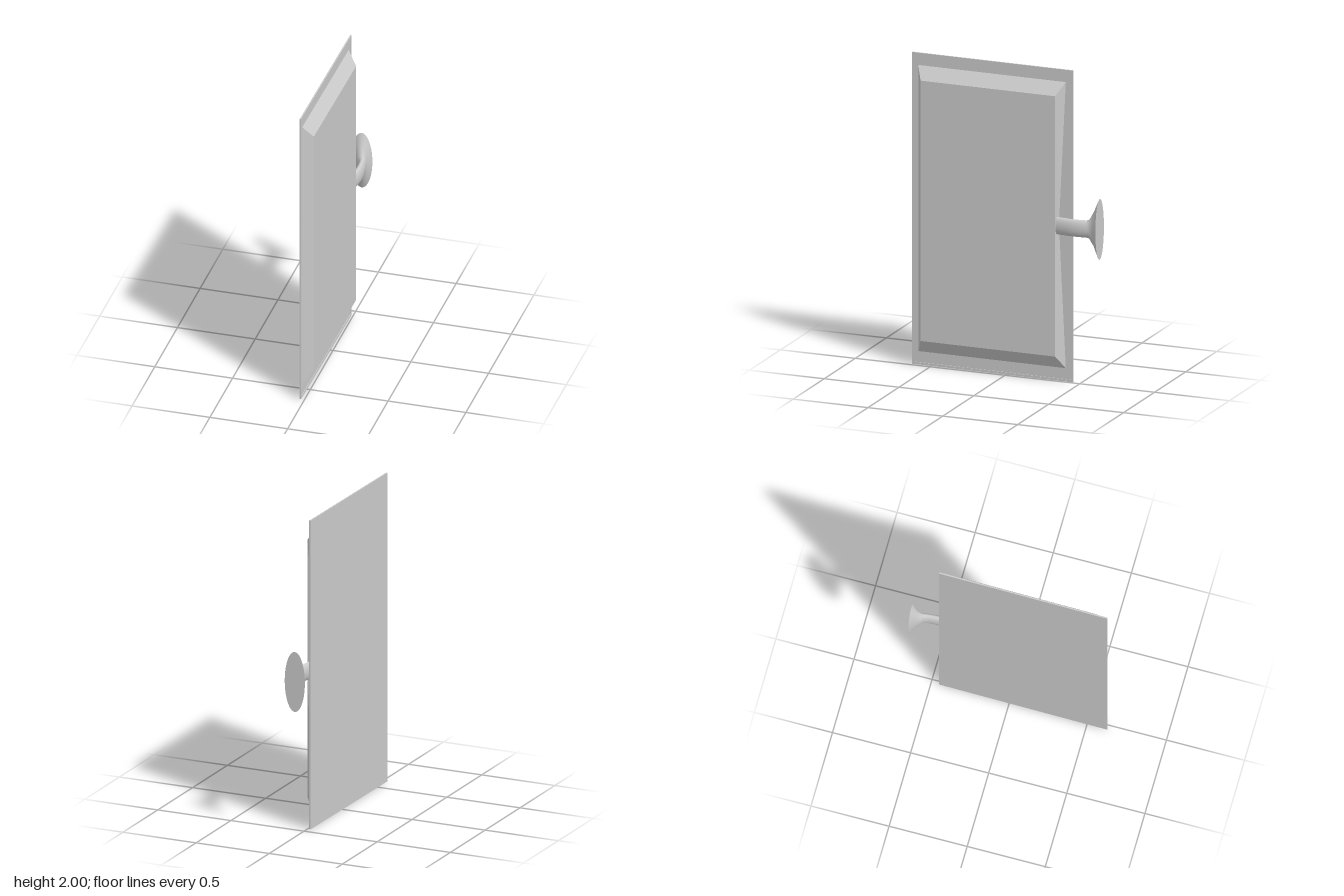
import * as THREE from 'three';

const material = new THREE.MeshStandardMaterial({ color: 0xcccccc });

function addMesh(parent, name, geometry) {
  const mesh = new THREE.Mesh(geometry, material);
  mesh.name = name;
  parent.add(mesh);
  return mesh;
}

function addBox(parent, name, size, position) {
  addMesh(parent, name, new THREE.BoxGeometry(...size)).position.set(...position);
}

// Bevelled shell whose rear edge is pinched in where the arm meets it
function housingGeometry(xBase, xTop) {
  const base = [[0.59, 0.085], [-0.40, 0.085], [-0.357, 0.95], [-0.357, 1.06], [-0.40, 1.92], [0.59, 1.92]];
  const top = [[0.548, 0.17], [-0.355, 0.17], [-0.355, 0.95], [-0.355, 1.06], [-0.355, 1.84], [0.548, 1.84]];
  const lower = base.map(([z, y]) => [xBase, y, z]);
  const upper = top.map(([z, y]) => [xTop, y, z]);
  const points = [];
  for (let i = 0; i < lower.length; i++) {
    const j = (i + 1) % lower.length;
    points.push(lower[i], lower[j], upper[j], lower[i], upper[j], upper[i]);
    if (i > 0 && j > 0) points.push(upper[0], upper[i], upper[j]);
  }
  const geometry = new THREE.BufferGeometry();
  geometry.setAttribute('position', new THREE.Float32BufferAttribute(points.flat(), 3));
  geometry.computeVertexNormals();
  return geometry;
}

// Lofts elliptical rings [z, centre x, radius x, radius y] running toward -z
function loftGeometry(rings, centreY, sides) {
  const positions = [];
  const indices = [];
  rings.forEach(([z, cx, rx, ry], r) => {
    for (let i = 0; i < sides; i++) {
      const t = (i / sides) * Math.PI * 2;
      positions.push(cx + rx * Math.cos(t), centreY + ry * Math.sin(t), z);
      if (r === 0) continue;
      const j = (i + 1) % sides;
      const a = (r - 1) * sides;
      const b = r * sides;
      indices.push(a + i, b + i, a + j, a + j, b + i, b + j);
    }
  });
  const geometry = new THREE.BufferGeometry();
  geometry.setAttribute('position', new THREE.Float32BufferAttribute(positions, 3));
  geometry.setIndex(indices);
  geometry.computeVertexNormals();
  return geometry;
}

export function createModel() {
  const model = new THREE.Group();
  model.name = 'wallMirror';

  // Panel assembly, turned very slightly about the vertical
  const panel = new THREE.Group();
  panel.name = 'panel';
  panel.rotation.y = -0.01;
  model.add(panel);

  const midZ = 0.09;
  const length = 1.08;
  const rim = 0.015;
  addBox(panel, 'mirrorPlate', [0.005, 2, length], [-0.0225, 1, midZ]);

  // Raised rim around the back of the plate
  for (const side of [-1, 1]) {
    addBox(panel, 'rimHorizontal', [0.004, rim, length], [-0.018, 1 + side * (1 - rim / 2), midZ]);
    addBox(panel, 'rimVertical', [0.004, 2 - 2 * rim, rim], [-0.018, 1, midZ + side * (length - rim) / 2]);
  }

  addMesh(panel, 'housing', housingGeometry(-0.02, 0.042));

  // Curved arm flaring into a flat oval mount
  const armY = 1.005;
  const rings = [
    [-0.34, 0.019, 0.022, 0.055],
    [-0.40, 0.025, 0.024, 0.055],
    [-0.44, 0.030, 0.024, 0.055],
    [-0.48, 0.031, 0.024, 0.055],
    [-0.52, 0.029, 0.024, 0.055],
    [-0.555, 0.024, 0.025, 0.055],
    [-0.572, 0.016, 0.030, 0.060],
    [-0.60, 0.004, 0.039, 0.115],
    [-0.633, 0, 0.069, 0.195],
  ];
  addMesh(model, 'arm', loftGeometry(rings, armY, 40));

  const mount = addMesh(model, 'mountFace', new THREE.CircleGeometry(1, 40));
  mount.rotation.y = Math.PI;
  mount.scale.set(0.069, 0.195, 1);
  mount.position.set(0, armY, -0.633);

  return model;
}
